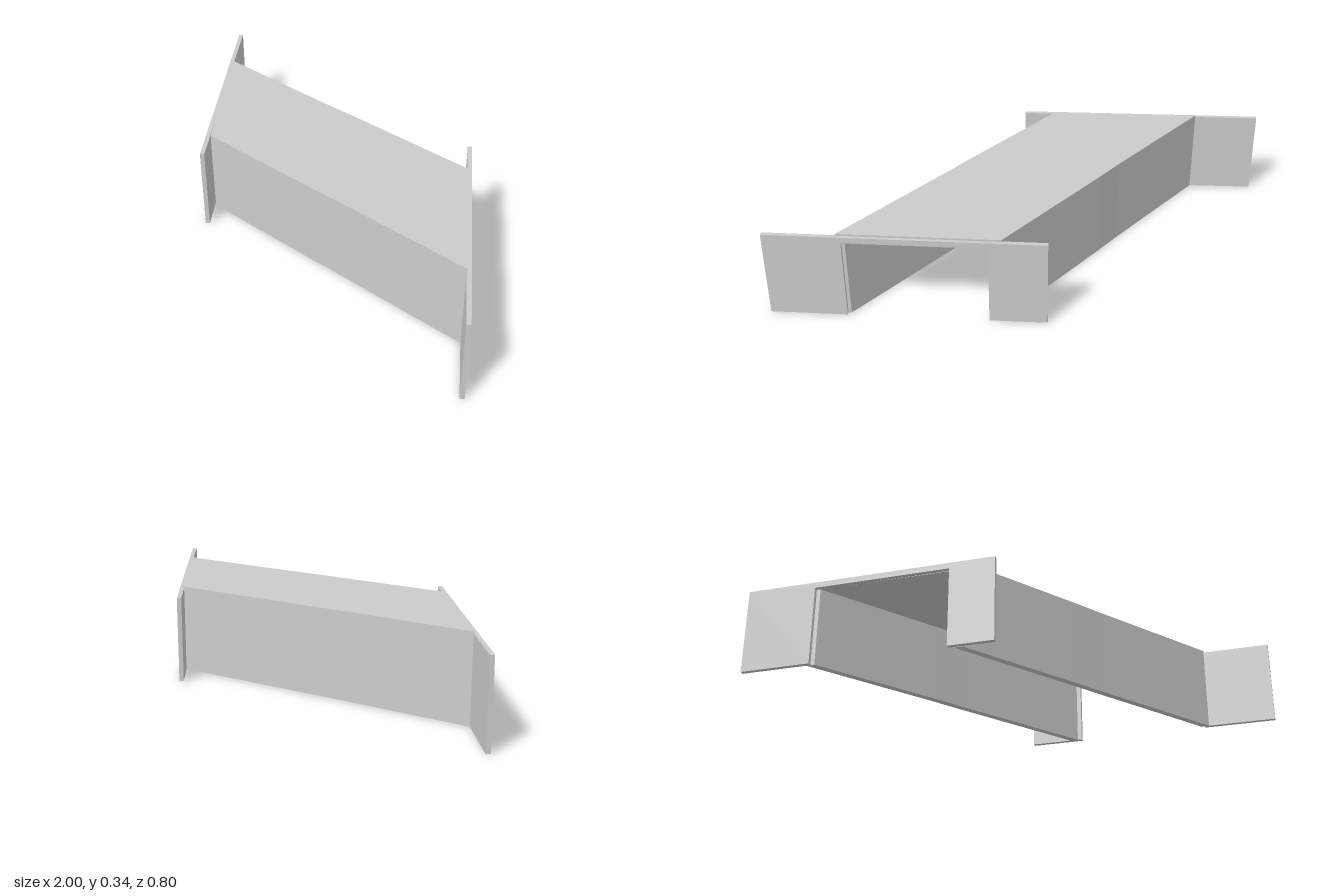
import * as THREE from 'three';

const material = new THREE.MeshStandardMaterial({ color: 0xcccccc, flatShading: true });
const roofTop = 0.342, roofUnder = 0.312, wingTop = 0.335;
const wingThickness = 0.017;

// Plan outlines [x, z] from left to right; the middle two points bound the short centre bay
const back = [[-0.82, -0.168], [-0.27, -0.207], [-0.145, -0.219], [0.441, -0.264]];
const front = [[-0.425, 0.285], [0.108, 0.246], [0.234, 0.235], [0.82, 0.191]];

// Upright prism over a plan polygon
function prism(points, y0, y1) {
  const shape = new THREE.Shape(points.map(([x, z]) => new THREE.Vector2(x, -z)));
  const geometry = new THREE.ExtrudeGeometry(shape, { depth: y1 - y0, bevelEnabled: false });
  return geometry.rotateX(-Math.PI / 2).translate(0, y0, 0);
}

// End wall with a passage cut up from the ground; [ax, az] to [bx, bz] is its outer face
function endWall([ax, az], [bx, bz], from, to) {
  const dx = bx - ax, dz = bz - az, length = Math.hypot(dx, dz);
  const u0 = from * length, u1 = to * length;
  const shape = new THREE.Shape([
    [0, 0], [u0, 0], [u0, roofUnder], [u1, roofUnder],
    [u1, 0], [length, 0], [length, wingTop], [0, wingTop],
  ].map(([x, y]) => new THREE.Vector2(x, y)));
  const geometry = new THREE.ExtrudeGeometry(shape, { depth: wingThickness, bevelEnabled: false });
  geometry.translate(0, 0, -wingThickness);
  return geometry.rotateY(Math.atan2(-dz, dx)).translate(ax, 0, az);
}

export function createModel() {
  const model = new THREE.Group();
  model.name = 'skewedCulvert';
  const add = (name, geometry) => {
    const mesh = new THREE.Mesh(geometry, material);
    mesh.name = name;
    model.add(mesh);
  };

  // Wall thickness is measured along the skew of the end walls
  const inset = (points, s) => points.map(([x, z]) => [x + s * 0.0215, z + s * 0.025]);
  const backInner = inset(back, 1), frontInner = inset(front, -1);

  // Three bays of roof slab and side walls
  ['right', 'centre', 'left'].forEach((bay, i) => {
    const strip = (a, b) => [a[i], a[i + 1], b[i + 1], b[i]];
    add(`${bay}RoofSlab`, prism(strip(back, front), roofUnder, roofTop));
    add(`${bay}BackWall`, prism(strip(back, backInner), 0, roofUnder));
    add(`${bay}FrontWall`, prism(strip(frontInner, front), 0, roofUnder));
  });

  // Skewed end walls, running past the passage as wings
  add('rightEndWall', endWall([-1, -0.353], [-0.36, 0.392], 0.28, 0.822));
  add('leftEndWall', endWall([1, 0.387], [0.345, -0.4], 0.28, 0.792));
  return model;
}
